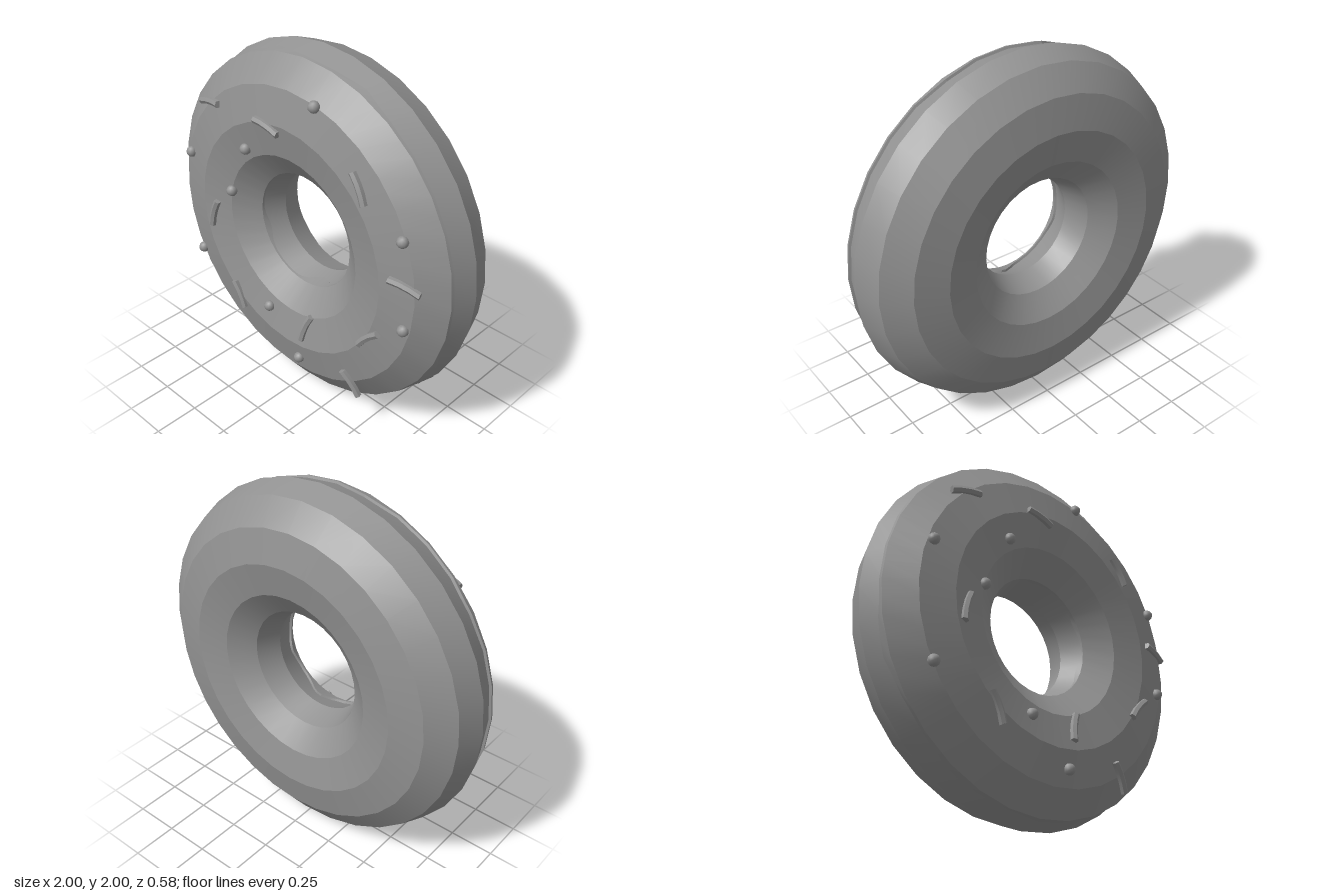
import * as THREE from 'three';
import { toCreasedNormals } from 'three/addons/utils/BufferGeometryUtils.js';

const R = 0.645, TUBE = 0.355, DEPTH = 0.27, ZC = -0.02; // ring radius, oval section, offset
const RING = 32, SECTION = 12;
const CREASE = 0.3; // smooth around the ring, sharp between the bands of the section
const rad = THREE.MathUtils.degToRad;
const mat = new THREE.MeshStandardMaterial({ color: 0x929292 });

// Point on the faceted dough section at phi degrees (0 = outer rim, 90 = front), pushed out by off
function section(phi, off) {
  const step = 360 / SECTION, i = Math.floor(phi / step), t = phi / step - i;
  const a = rad(i * step), b = rad((i + 1) * step), p = rad(phi);
  return [
    R + TUBE * THREE.MathUtils.lerp(Math.cos(a), Math.cos(b), t) + off * Math.cos(p),
    DEPTH * THREE.MathUtils.lerp(Math.sin(a), Math.sin(b), t) + off * Math.sin(p),
  ];
}

// Sum of soft bumps [angle, height, width] along the ring, in degrees
function bumps(list, angle) {
  return list.reduce((sum, [c, h, w]) => {
    const d = ((angle - c + 540) % 360) - 180;
    return sum + h * Math.exp(-((d / w) ** 2));
  }, 0);
}

// Icing: a shell over the front of the ring with wavy inner and outer edges
function icingGeometry() {
  const outer = [[326, 17, 8], [68, 5, 7], [102, 6, 7], [145, 3, 8], [200, 5, 9], [240, 4, 8], [275, 3, 8]];
  const inner = [[285, 12, 15], [200, 5, 14], [340, 5, 12], [95, 2, 14], [30, 3, 12]];
  const N = RING * 2, positions = [], index = [];
  let rows = 0;
  for (let j = 0; j < N; j++) {
    const deg = (j * 360) / N, a = rad(deg);
    const o = 27 - bumps(outer, deg), n = 152 + bumps(inner, deg);
    const rowList = [[o, -0.006], [o, 0.013], [30, 0.015], [60, 0.015], [90, 0.015],
      [120, 0.015], [150, 0.015], [n, 0.013], [n, -0.006]];
    rows = rowList.length;
    // odd columns lie on the straight sides of the ring
    const k = j % 2 ? Math.cos(Math.PI / RING) : 1;
    for (const [phi, off] of rowList) {
      const [r, z] = section(phi, off);
      positions.push(r * k * Math.cos(a), r * k * Math.sin(a), z);
    }
  }
  for (let j = 0; j < N; j++) {
    for (let i = 0; i < rows - 1; i++) {
      const a = j * rows + i, b = ((j + 1) % N) * rows + i;
      index.push(a, b, b + 1, a, b + 1, a + 1);
    }
  }
  const g = new THREE.BufferGeometry();
  g.setAttribute('position', new THREE.Float32BufferAttribute(positions, 3));
  g.setIndex(index);
  return toCreasedNormals(g, CREASE);
}

// Point on the icing front at x, y measured from the ring centre
function onIcing(x, y, lift) {
  const r = THREE.MathUtils.clamp(Math.hypot(x, y), 0.34, 0.85);
  let lo = 30, hi = 150;
  for (let i = 0; i < 20; i++) {
    const mid = (lo + hi) / 2;
    if (section(mid, 0.015)[0] > r) lo = mid; else hi = mid;
  }
  return new THREE.Vector3(x, y, section(lo, 0.015)[1] + lift);
}

// Short bent six-sided rod lying on the icing
function rod(x, y, degrees) {
  const dx = 0.083 * Math.cos(rad(degrees)), dy = 0.083 * Math.sin(rad(degrees));
  const p = onIcing(x - dx, y - dy, 0.009), q = onIcing(x + dx, y + dy, 0.009);
  const len = p.distanceTo(q);
  const g = new THREE.CylinderGeometry(0.02, 0.02, len, 6, 3);
  const pos = g.attributes.position;
  for (let i = 0; i < pos.count; i++) {
    const t = (pos.getY(i) * 2) / len;
    pos.setX(i, pos.getX(i) - 0.009 * (0.5 - t * t));
  }
  const dir = q.clone().sub(p).normalize();
  const side = new THREE.Vector3().crossVectors(dir, new THREE.Vector3(0, 0, 1)).normalize();
  const up = new THREE.Vector3().crossVectors(side, dir);
  const mesh = new THREE.Mesh(toCreasedNormals(g, 0.9), mat);
  mesh.quaternion.setFromRotationMatrix(new THREE.Matrix4().makeBasis(side, dir, up));
  mesh.position.copy(p).lerp(q, 0.5);
  mesh.name = 'sprinkleRod';
  return mesh;
}

export function createModel() {
  const model = new THREE.Group();
  model.name = 'doughnut';
  const ring = new THREE.Group();
  ring.name = 'ring';
  ring.position.set(0, 1, ZC);
  model.add(ring);

  // Dough
  const doughGeo = new THREE.TorusGeometry(R, TUBE, SECTION, RING);
  doughGeo.scale(1, 1, DEPTH / TUBE);
  const dough = new THREE.Mesh(toCreasedNormals(doughGeo, CREASE), mat);
  dough.name = 'dough';
  ring.add(dough);

  const icing = new THREE.Mesh(icingGeometry(), mat);
  icing.name = 'icing';
  ring.add(icing);

  // Rod sprinkles: x, y, slant in degrees
  const rods = [
    [-0.58, 0.593, 11], [-0.112, 0.62, -12], [0.495, 0.508, -60],
    [0.775, 0.093, -13], [0.587, -0.3, 46], [0.455, -0.7, -57],
    [0.127, -0.505, 73], [-0.38, -0.53, -64], [-0.572, -0.068, 75],
  ];
  for (const [x, y, d] of rods) ring.add(rod(x, y, d));

  // Ball sprinkles
  const balls = [
    [0.185, 0.805], [-0.3, 0.42], [-0.765, 0.235], [-0.445, 0.11], [0.745, 0.325],
    [0.78, -0.16], [-0.73, -0.385], [-0.155, -0.505], [0.08, -0.735],
  ];
  const ballGeo = new THREE.IcosahedronGeometry(0.031, 1);
  for (const [x, y] of balls) {
    const ball = new THREE.Mesh(ballGeo, mat);
    ball.position.copy(onIcing(x, y, 0.005));
    ball.name = 'sprinkleBall';
    ring.add(ball);
  }
  return model;
}
